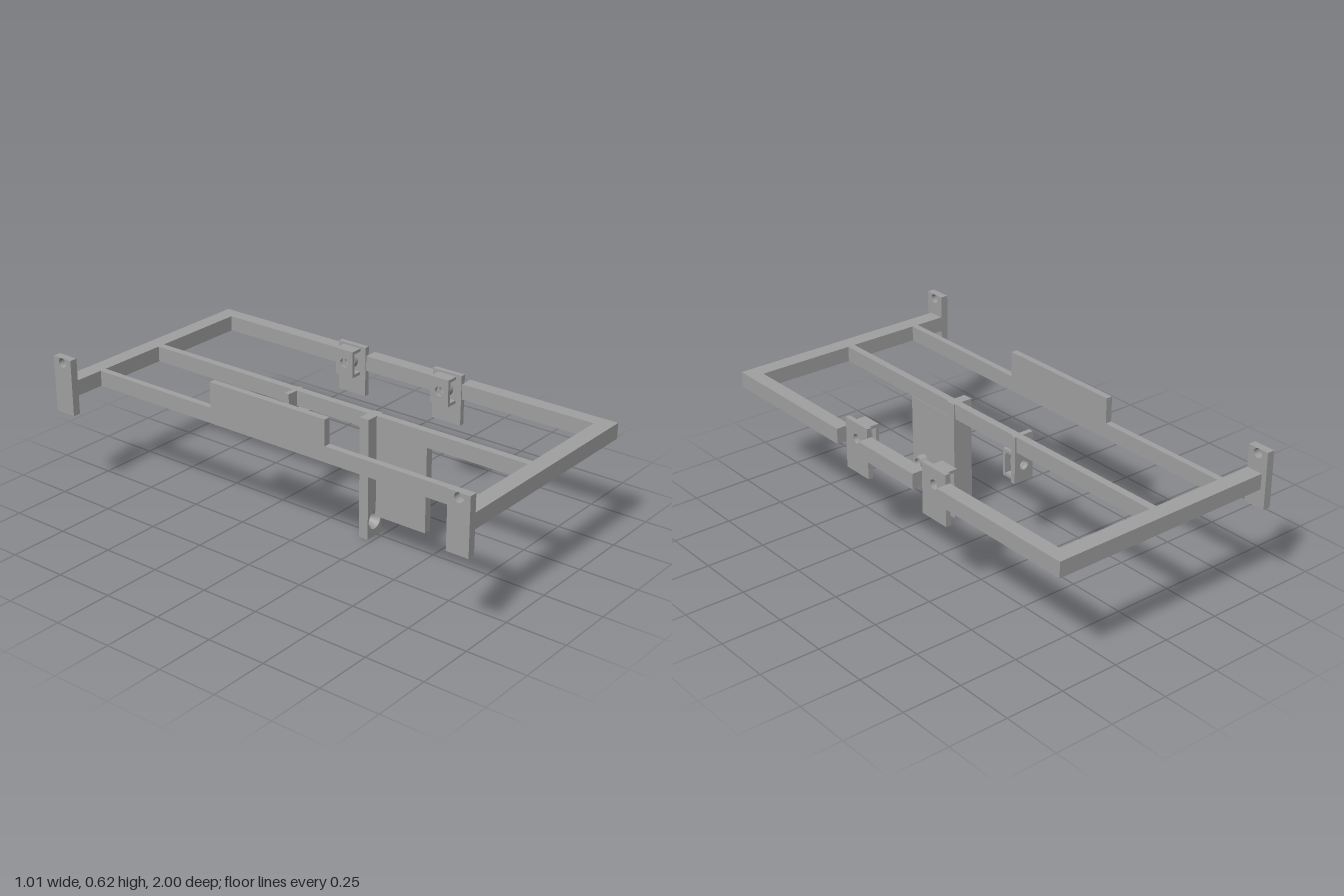
import * as THREE from 'three';

const steel = new THREE.MeshStandardMaterial({ color: 0xa0a0a0 });
steel.name = 'grey steel';

function add(parent, name, geometry) {
  const mesh = new THREE.Mesh(geometry, steel);
  mesh.name = name;
  parent.add(mesh);
  return mesh;
}

// Solid bar given by its limits on each axis
function bar(parent, name, x0, x1, y0, y1, z0, z1) {
  add(parent, name, new THREE.BoxGeometry(x1 - x0, y1 - y0, z1 - z0))
    .position.set((x0 + x1) / 2, (y0 + y1) / 2, (z0 + z1) / 2);
}

// Plate facing z, drilled with one round hole
function drilled(parent, name, x0, x1, y0, y1, z0, z1, hx, hy, r) {
  const shape = new THREE.Shape();
  shape.moveTo(x0, y0).lineTo(x1, y0).lineTo(x1, y1).lineTo(x0, y1).closePath();
  const hole = new THREE.Path();
  hole.absarc(hx, hy, r, 0, Math.PI * 2, true);
  shape.holes.push(hole);
  const g = new THREE.ExtrudeGeometry(shape, { depth: z1 - z0, bevelEnabled: false, curveSegments: 20 });
  g.translate(0, 0, z0);
  return add(parent, name, g);
}

// Ring-shaped sleeve along y, closed on all sides
function sleeve(outer, inner, length) {
  const h = length / 2;
  const corners = [[inner, -h], [outer, -h], [outer, h], [inner, h], [inner, -h]];
  // Doubled corners keep the rims sharp
  const profile = corners.flatMap(([r, y]) => [new THREE.Vector2(r, y), new THREE.Vector2(r, y)]);
  return new THREE.LatheGeometry(profile, 28);
}

// Backing plate with a hollow nut box in front of it (local +z)
function nutBracket(parent, name, halfWidth, plateBottom, plateTop, shift) {
  const g = new THREE.Group();
  g.name = name;
  const a = shift - 0.043, b = shift + 0.043, h = 0.0575, w = 0.013, depth = 0.052;
  drilled(g, 'backingPlate', -halfWidth, halfWidth, plateBottom, plateTop, -0.022, 0, shift, 0, 0.02);
  drilled(g, 'boxFace', a, b, -h, h, depth - w, depth, shift, 0, 0.02);
  bar(g, 'boxTop', a, b, h - w, h, 0, depth - w);
  bar(g, 'boxBottom', a, b, -h, -h + w, 0, depth - w);
  const nut = add(g, 'nut', sleeve(0.032, 0.02, 0.02));
  nut.rotation.x = Math.PI / 2;
  nut.position.set(shift, 0, 0.012);
  parent.add(g);
  return g;
}

export function createModel() {
  const model = new THREE.Group();
  model.name = 'mountingFrame';
  const y0 = 0.445, y1 = 0.51;

  // End bars and their drilled mounting tabs
  for (const s of [-1, 1]) {
    const lo = s < 0 ? -0.978 : 0.908, hi = s < 0 ? -0.908 : 0.978;
    bar(model, 'endBar', -0.475, 0.505, y0, y1, lo, hi);
    const tab = drilled(model, 'mountingTab', -0.047, 0.047, 0.367, 0.604, -0.0165, 0.0165, 0, 0.584, 0.02);
    tab.rotation.y = Math.PI / 2;
    tab.position.set(-0.4915, 0, s * 0.953);
  }

  // Interrupted side rail
  for (const [a, b] of [[-0.908, -0.313], [-0.17, 0.165], [0.305, 0.908]]) {
    bar(model, 'sideRail', 0.445, 0.505, y0, y1, a, b);
  }
  // Nut brackets bridging the rail gaps, boxes turned inward
  for (const z of [-0.24, 0.238]) {
    const bracket = nutBracket(model, 'railBracket', 0.0695, -0.147, 0.067, 0);
    bracket.rotation.y = -Math.PI / 2;
    bracket.position.set(0.44, 0.48, z);
  }

  // Thin rail with raised centre fin
  bar(model, 'thinRail', -0.346, -0.318, y0, y1, -0.908, 0.908);
  bar(model, 'raisedFin', -0.346, -0.318, y1, 0.617, -0.315, 0.247);

  // Centre beam with hanging panel
  bar(model, 'centreBeam', -0.01, 0.022, y0, y1, -0.908, 0.908);
  bar(model, 'hangingPanel', -0.01, 0.024, 0.085, y0, 0.228, 0.466);
  const boss = add(model, 'panelBoss', sleeve(0.028, 0.017, 0.034));
  boss.rotation.z = Math.PI / 2;
  boss.position.set(0.041, 0.18, 0.393);

  // Hanging post with countersunk hole
  drilled(model, 'hangingPost', -0.06, 0.029, 0, y1, 0.187, 0.23, -0.016, 0.07, 0.038);
  const cone = [[0.038, -0.0215], [0.02, -0.0215], [0.02, -0.0215], [0.02, -0.01], [0.02, -0.01], [0.038, 0.0215]];
  const sink = new THREE.LatheGeometry(cone.map(([r, y]) => new THREE.Vector2(r, y)).reverse(), 28);
  const countersink = add(model, 'countersink', sink);
  countersink.rotation.x = Math.PI / 2;
  countersink.position.set(-0.016, 0.07, 0.2085);

  // Nut bracket hanging under the centre beam
  const centre = nutBracket(model, 'centreBracket', 0.0445, -0.069, 0.131, -0.002);
  centre.position.set(-0.0155, 0.379, -0.163);

  return model;
}
